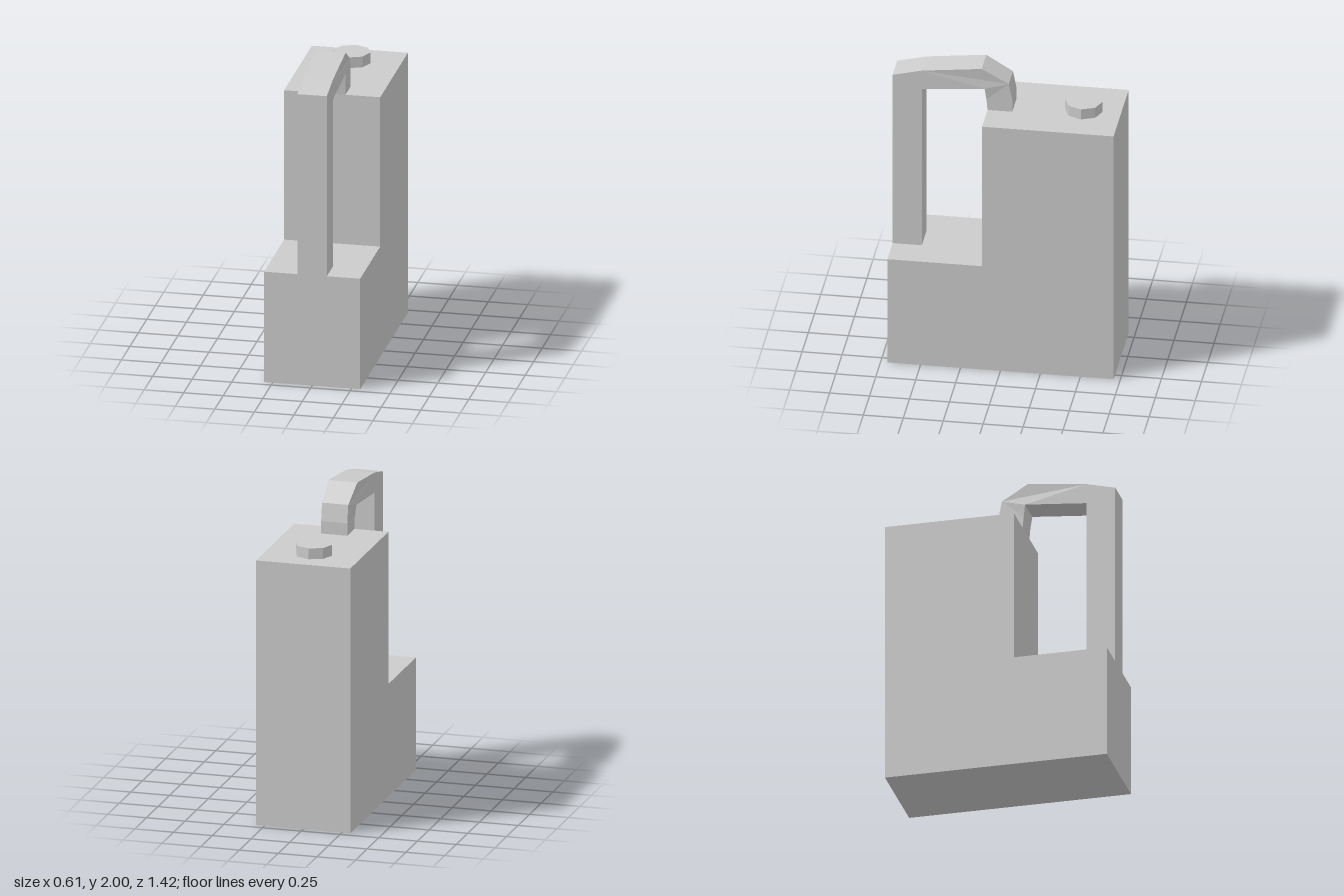
import * as THREE from 'three';

const material = new THREE.MeshStandardMaterial({ color: 0xcccccc, flatShading: true });

// Extrude a side profile of [z, y] points across x, centred on x = 0
function sideExtrude(points, width) {
  const shape = new THREE.Shape(points.map(([z, y]) => new THREE.Vector2(z, y)));
  const geometry = new THREE.ExtrudeGeometry(shape, { depth: width, bevelEnabled: false });
  geometry.translate(0, 0, -width / 2);
  geometry.rotateY(-Math.PI / 2);
  return geometry;
}

export function createModel() {
  const group = new THREE.Group();
  const add = (name, geometry) => {
    const mesh = new THREE.Mesh(geometry, material);
    mesh.name = name;
    group.add(mesh);
    return mesh;
  };

  // Stepped container body
  add('body', sideExtrude([
    [-0.708, 0], [0.708, 0], [0.708, 0.727], [0.115, 0.727], [0.115, 1.71], [-0.708, 1.71],
  ], 0.608));

  // Carrying handle, rising from the step and bending back onto the top
  const handle = sideExtrude([
    [0.708, 0.727], [0.708, 1.912], [0.525, 1.957], [0.15, 2], [-0.018, 1.903],
    [-0.04, 1.79], [-0.04, 1.71], [0.115, 1.71], [0.122, 1.785], [0.132, 1.862],
    [0.525, 1.827], [0.525, 0.727],
  ], 0.186);
  // Narrow the rear end of the handle slightly
  const position = handle.attributes.position;
  for (let i = 0; i < position.count; i++) {
    if (position.getZ(i) < 0.125) position.setX(i, position.getX(i) * 0.91);
  }
  handle.computeVertexNormals();
  add('handle', handle);

  // Octagonal filler cap
  add('cap', new THREE.CylinderGeometry(0.117, 0.117, 0.07, 8)).position.set(0, 1.745, -0.475);

  return group;
}
